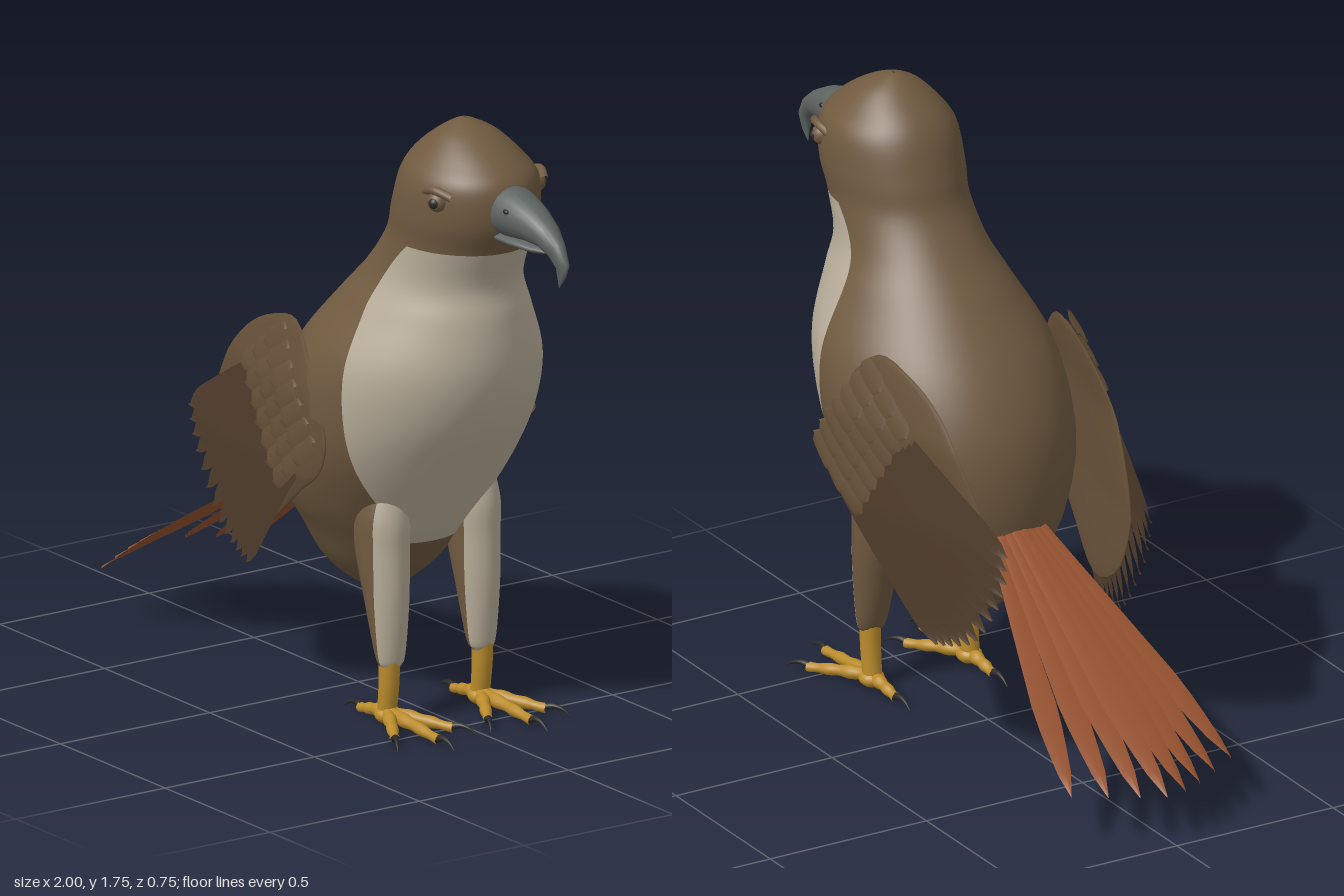
import * as THREE from 'three';
import { mergeGeometries } from 'three/addons/utils/BufferGeometryUtils.js';

const V = (x, y, z = 0) => new THREE.Vector3(x, y, z);
const mat = (name, color, side = THREE.FrontSide) => {
  const m = new THREE.MeshStandardMaterial({ color, side });
  m.name = name;
  return m;
};

function makeGeometry(points, index) {
  const g = new THREE.BufferGeometry();
  g.setAttribute('position', new THREE.Float32BufferAttribute(points.flatMap(p => [p.x, p.y, p.z]), 3));
  g.setIndex(index);
  g.computeVertexNormals();
  return g;
}

// Skin over closed rings; rowMaterial(row, column) optionally sorts quads into two groups
function loft(rings, isSecond = () => false) {
  const n = rings[0].length, lists = [[], []];
  for (let r = 0; r < rings.length - 1; r++) {
    for (let c = 0; c < n; c++) {
      const a = r * n + c, b = r * n + (c + 1) % n;
      lists[isSecond(r, c) ? 1 : 0].push(a, a + n, b, b, a + n, b + n);
    }
  }
  const g = makeGeometry(rings.flat(), lists.flat());
  if (lists[1].length) {
    g.addGroup(0, lists[0].length, 0);
    g.addGroup(lists[0].length, lists[1].length, 1);
  }
  return g;
}

// Stack of horizontal ellipses [y, back x, front x, half width], with a pale front patch
function twoToneForm(slices, zc, edgeX, lo, hi, sub = 6) {
  const back = new THREE.CatmullRomCurve3(slices.map(s => V(s[1], s[0])), false, 'catmullrom');
  const front = new THREE.CatmullRomCurve3(slices.map(s => V(s[2], s[0], s[3])), false, 'catmullrom');
  const rows = (slices.length - 1) * sub, pale = 28, dark = 36, rings = [];
  for (let i = 0; i <= rows; i++) {
    const b = back.getPoint(i / rows), f = front.getPoint(i / rows);
    const cx = (b.x + f.x) / 2, rx = Math.max((f.x - b.x) / 2, 0.001);
    const edge = Math.max(0.41, Math.acos(THREE.MathUtils.clamp((edgeX(f.y) - cx) / rx, -0.95, 0.999)));
    const ring = [];
    for (let c = 0; c < pale + dark; c++) {
      const a = c < pale ? -edge + 2 * edge * c / pale : edge + (2 * Math.PI - 2 * edge) * (c - pale) / dark;
      ring.push(V(cx + rx * Math.cos(a), f.y, zc + f.z * Math.sin(a)));
    }
    rings.push(ring);
  }
  return loft(rings, (r, c) => {
    const y = (rings[r][0].y + rings[r + 1][0].y) / 2;
    return c < pale && y > lo && y < hi;
  });
}

// Beak section rows: [top x, top y, bottom x, bottom y, half width]
const beakPart = rows => loft(rows.map(([tx, ty, bx, by, w]) => Array.from({ length: 24 }, (_, i) => {
  const a = i / 24 * Math.PI * 2, k = (1 + Math.cos(a)) / 2;
  return V(bx + (tx - bx) * k, by + (ty - by) * k, -w * Math.sin(a));
})));

// Tapered tube along a curve
function taper(points, r0, r1, steps = 14, knuckle = 0) {
  const curve = new THREE.CatmullRomCurve3(points), f = curve.computeFrenetFrames(steps);
  return loft(Array.from({ length: steps + 1 }, (_, i) => {
    const t = i / steps, p = curve.getPointAt(t);
    const r = (r0 + (r1 - r0) * t) * (1 + knuckle * Math.cos(t * Math.PI * 6));
    return Array.from({ length: 12 }, (_, j) => {
      const a = j / 12 * Math.PI * 2;
      return p.clone().addScaledVector(f.normals[i], r * Math.cos(a)).addScaledVector(f.binormals[i], -r * Math.sin(a));
    });
  }));
}

// Feather blade from base to tip: width(t) is the half width, place() puts it in space
function blade(base, tip, side, width, place = p => p, steps = 12) {
  const pts = [], idx = [];
  for (let i = 0; i <= steps; i++) {
    for (let j = -1; j <= 1; j++) {
      const t = i / steps;
      pts.push(place(base.clone().lerp(tip, t).addScaledVector(side, j * width(t)), j, t));
      if (i < steps && j < 1) {
        const a = i * 3 + j + 1;
        idx.push(a, a + 3, a + 1, a + 1, a + 3, a + 4);
      }
    }
  }
  return makeGeometry(pts, idx);
}

// Distance of the folded wing from the middle of the body
const wingZ = (x, y) => 0.345 - 0.2 * Math.max(0, 0.2 - x) ** 1.3
  - 0.2 * Math.max(0, y - 0.95) - 0.1 * Math.max(0, 0.7 - y);

function mirrored(geo) {
  const g = geo.clone().scale(1, 1, -1), ix = g.index.array;
  for (let i = 0; i < ix.length; i += 3) [ix[i], ix[i + 1]] = [ix[i + 1], ix[i]];
  return g;
}

export function createModel() {
  const brown = mat('brown plumage', 0x705a40), pale = mat('pale breast', 0xb8ad99);
  const dark = mat('dark flight feathers', 0x4f3c2a, THREE.DoubleSide);
  const covert = mat('wing coverts', 0x665038, THREE.DoubleSide);
  const rust = mat('rust tail', 0x96522f, THREE.DoubleSide);
  const gold = mat('golden skin', 0xbb8c2c), grey = mat('grey beak', 0x5c6360);
  const black = mat('black claws and pupils', 0x2b2a28);

  const model = new THREE.Group();
  const add = (name, geo, m) => {
    const mesh = new THREE.Mesh(geo, m);
    mesh.name = name;
    model.add(mesh);
  };
  const pair = (name, geo, m) => { add(name, geo, m); add(name, mirrored(geo), m); };

  // Body and head in one form
  add('body', twoToneForm([
    [0.31, 0.07, 0.11, 0.01], [0.33, 0.01, 0.18, 0.07], [0.4, -0.07, 0.27, 0.15], [0.5, -0.13, 0.36, 0.21],
    [0.6, -0.165, 0.43, 0.27], [0.75, -0.175, 0.53, 0.325], [0.9, -0.15, 0.62, 0.335], [1.05, -0.07, 0.665, 0.315],
    [1.2, 0.065, 0.665, 0.245], [1.3, 0.165, 0.655, 0.2], [1.41, 0.25, 0.7, 0.185], [1.5, 0.28, 0.74, 0.19],
    [1.6, 0.315, 0.74, 0.18], [1.66, 0.355, 0.69, 0.14], [1.715, 0.425, 0.605, 0.085],
    [1.745, 0.475, 0.535, 0.03], [1.753, 0.5, 0.506, 0.002],
  ], 0, y => 0.37 + 0.12 * (THREE.MathUtils.clamp(y - 1.2, 0, 0.21) / 0.21) ** 2, 0.5, 1.41), [brown, pale]);

  // Hooked beak
  add('upperBeak', beakPart([
    [0.68, 1.615, 0.68, 1.47, 0.07], [0.76, 1.61, 0.75, 1.47, 0.071], [0.84, 1.585, 0.83, 1.478, 0.055],
    [0.91, 1.548, 0.89, 1.475, 0.04], [0.965, 1.505, 0.925, 1.455, 0.025], [1.0, 1.45, 0.945, 1.43, 0.013],
    [0.985, 1.41, 0.952, 1.4, 0.008], [0.957, 1.375, 0.954, 1.377, 0.001],
  ]), grey);
  add('lowerBeak', beakPart([
    [0.68, 1.49, 0.68, 1.452, 0.055], [0.78, 1.485, 0.78, 1.452, 0.052],
    [0.86, 1.48, 0.86, 1.453, 0.035], [0.9, 1.465, 0.9, 1.458, 0.004],
  ]), grey);
  const ball = (x, y, z, r, sx = 1, sy = 1, sz = 1) =>
    new THREE.SphereGeometry(r, 20, 14).scale(sx, sy, sz).translate(x, y, z);
  pair('nostril', ball(0.785, 1.56, 0.058, 0.009, 1.3, 0.8, 0.8), black);

  // Eyes under brow ridges
  pair('eyeball', ball(0.61, 1.565, 0.163, 0.03), brown);
  pair('pupil', ball(0.617, 1.565, 0.179, 0.017), black);
  pair('brow', taper([V(0.56, 1.583, 0.17), V(0.61, 1.6, 0.178), V(0.665, 1.585, 0.155)], 0.012, 0.012), brown);

  // Feathered thighs and shanks
  pair('thigh', twoToneForm([
    [0.165, 0.352, 0.39, 0.027], [0.2, 0.333, 0.4, 0.045], [0.35, 0.29, 0.411, 0.062], [0.5, 0.245, 0.411, 0.072],
    [0.6, 0.25, 0.41, 0.07], [0.72, 0.28, 0.38, 0.04],
  ], 0.152, () => 0.372, 0, 0.65), [brown, pale]);
  pair('shank', taper([V(0.368, 0.23, 0.156), V(0.366, 0.12, 0.156), V(0.355, 0.025, 0.156)], 0.031, 0.027), gold);
  pair('footPad', ball(0.36, 0.028, 0.156, 0.036, 1.1, 0.7, 1), gold);

  // Toes [end x, end z offset] with curved claws
  const toes = [], claws = [];
  for (const [ex, ez] of [[0.6, 0], [0.53, 0.095], [0.53, -0.095], [0.235, 0]]) {
    const root = V(0.36, 0.035, 0.156), end = V(ex, 0.017, 0.156 + ez);
    const dir = V(ex - 0.36, 0, ez).normalize();
    const out = (d, y) => V(end.x + dir.x * d, y, end.z + dir.z * d);
    toes.push(taper([root, root.clone().lerp(end, 0.5).setY(0.028), end, out(0.006, 0.017)], 0.021, 0.013, 24, 0.1));
    claws.push(taper([out(-0.01, 0.017), out(0.025, 0.026), out(0.055, 0.02), out(0.078, 0.004)], 0.012, 0.001));
  }
  pair('toes', mergeGeometries(toes), gold);
  pair('claws', mergeGeometries(claws), black);

  // Tail fan
  const tail = [];
  [[0.03, -1.0], [0.095, -0.965], [0.17, -0.92], [0.255, -0.865]].forEach(([z, x], i) => {
    for (const s of [1, -1]) {
      tail.push(blade(V(-0.1, 0.675 - i * 0.004, s * z * 0.25), V(x, 0.16, s * z), V(0, 0, 1),
        t => t < 0.72 ? 0.014 + 0.036 * t : 0.04 * Math.sqrt(Math.max(0, 1 - t) / 0.28) * (1 - t * 0.1),
        (p, j, t) => p.setY(p.y - (j ? 0.004 : 0) - s * j * 0.003 * t)));
    }
  });
  add('tailFeathers', mergeGeometries(tail), rust);

  // Wing panel: a flattened ball fitted to the wing outline
  const outline = new THREE.CatmullRomCurve3([
    [0.31, 0.83], [0.23, 1.0], [0.11, 1.12], [-0.03, 1.1], [-0.17, 1.03], [-0.29, 0.9], [-0.38, 0.7],
    [-0.33, 0.53], [-0.15, 0.44], [0.04, 0.55], [0.19, 0.66], [0.28, 0.73],
  ].map(p => V(p[0], p[1])), true);
  const panel = new THREE.SphereGeometry(1, 48, 20).rotateX(Math.PI / 2);
  const pos = panel.attributes.position;
  for (let i = 0; i < pos.count; i++) {
    const x = pos.getX(i), y = pos.getY(i), r = Math.hypot(x, y);
    const o = outline.getPoint(((Math.atan2(y, x) / (2 * Math.PI)) + 1) % 1);
    const px = (o.x + 0.04) * r - 0.04, py = (o.y - 0.8) * r + 0.8;
    pos.setXYZ(i, px, py, wingZ(px, py) - 0.018 + 0.016 * pos.getZ(i));
  }
  panel.computeVertexNormals();
  pair('wingPanel', panel, covert);

  // Flight feathers fanned along the trailing edge
  const tips = new THREE.CatmullRomCurve3([
    V(-0.48, 0.72), V(-0.465, 0.62), V(-0.405, 0.51), V(-0.325, 0.41), V(-0.24, 0.37), V(-0.165, 0.35),
  ]);
  const flight = [], count = 13;
  for (let i = 0; i < count; i++) {
    const k = i / (count - 1), base = V(-0.1 + 0.29 * k, 0.925 - 0.2 * k), tip = tips.getPoint(k);
    const d = tip.clone().sub(base).normalize();
    flight.push(blade(base, tip, V(-d.y, d.x),
      t => t < 0.8 ? 0.03 : 0.03 * Math.sqrt(Math.max(0, 1 - t) / 0.2),
      (p, j) => p.setZ(wingZ(p.x, p.y) + 0.008 + j * 0.004)));
  }
  pair('flightFeathers', mergeGeometries(flight), dark);

  // Overlapping rows of rounded coverts
  const coverts = [];
  for (let col = 0; col < 3; col++) {
    for (let i = 0; i < 7; i++) {
      const k = i / 6, base = V(0.125 + 0.19 * k - col * 0.062, 1.105 - 0.27 * k - col * 0.048);
      const tip = base.clone().add(V(-0.1, -0.075 + 0.02 * (1 - k)));
      const d = tip.clone().sub(base).normalize();
      coverts.push(blade(base, tip, V(-d.y, d.x),
        t => 0.031 * Math.sqrt(Math.max(0, 1 - Math.abs(2 * t - 1) ** 5)),
        (p, j, t) => p.setZ(wingZ(p.x, p.y) + 0.02 - col * 0.003 + 0.006 * t + (j ? 0 : 0.006) + j * 0.002), 10));
    }
  }
  pair('wingCoverts', mergeGeometries(coverts), covert);

  return model;
}
